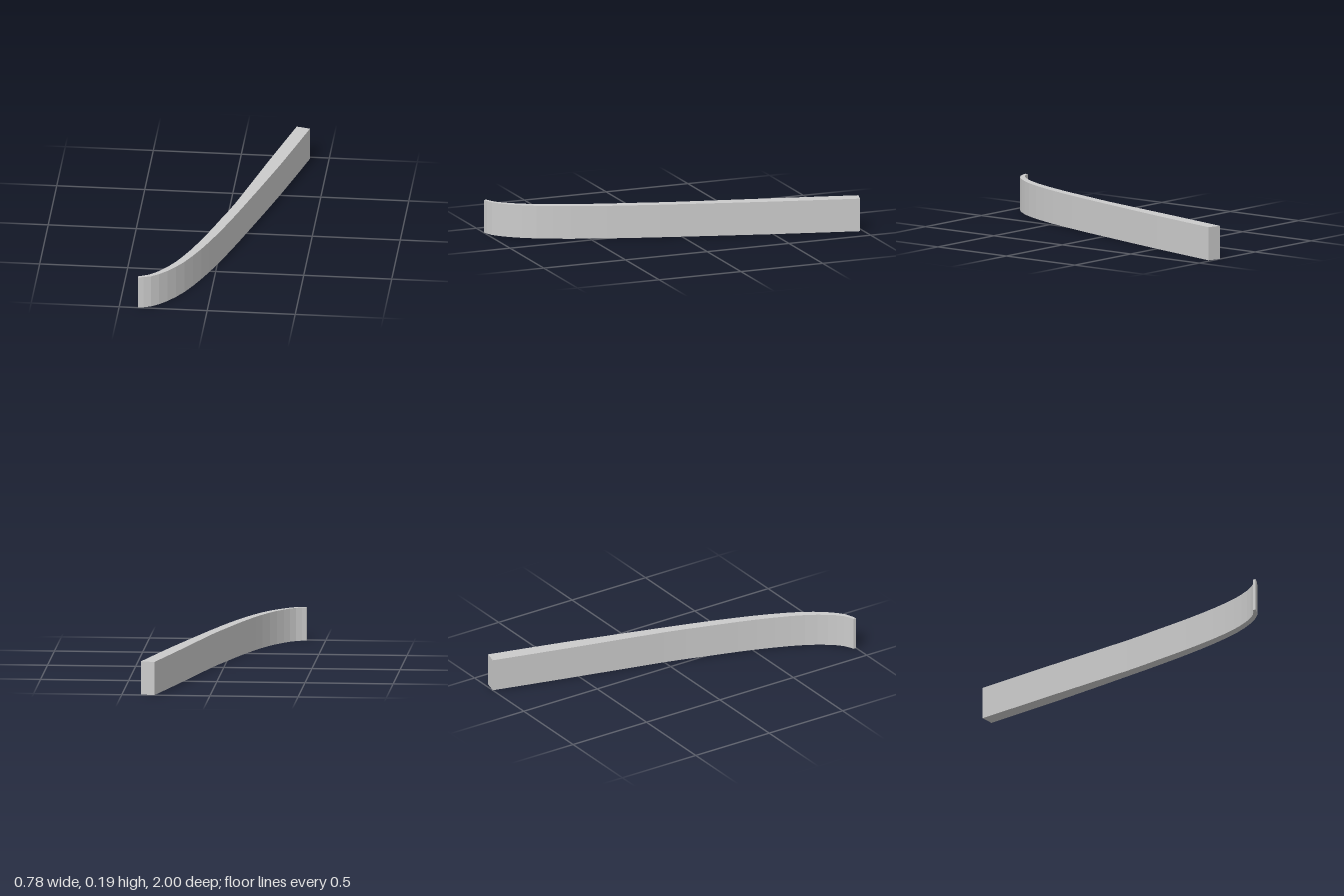
import * as THREE from 'three';

const HEIGHT = 0.19;

// Plan-view edges as [x, z], from the thick back end to the thin curled tip
const INNER = [[0.315, -1], [0.195, -0.53], [0.065, 0], [0.003, 0.21], [-0.06, 0.42],
  [-0.13, 0.62], [-0.2, 0.78], [-0.27, 0.89], [-0.335, 0.957], [-0.393, 0.982]];
const OUTER = [[0.392, -0.98], [0.268, -0.5], [0.126, 0], [0.064, 0.21], [0, 0.41],
  [-0.07, 0.6], [-0.15, 0.775], [-0.235, 0.9], [-0.32, 0.977], [-0.393, 0.998]];

// The shape lies in x, -z so that it can be stood up after extruding
const edge = (points) =>
  new THREE.SplineCurve(points.map(([x, z]) => new THREE.Vector2(x, -z))).getPoints(18);

export function createModel() {
  const group = new THREE.Group();
  group.name = 'curvedBar';

  // Tapered bar: the outline between both edges, raised to its full height
  const outline = new THREE.Shape([...edge(OUTER), ...edge(INNER).reverse()]);
  const geometry = new THREE.ExtrudeGeometry(outline, { depth: HEIGHT, steps: 1, bevelEnabled: false });
  geometry.rotateX(-Math.PI / 2);

  const bar = new THREE.Mesh(geometry,
    new THREE.MeshStandardMaterial({ color: 0xcccccc, flatShading: true }));
  bar.name = 'bar';
  group.add(bar);
  return group;
}
